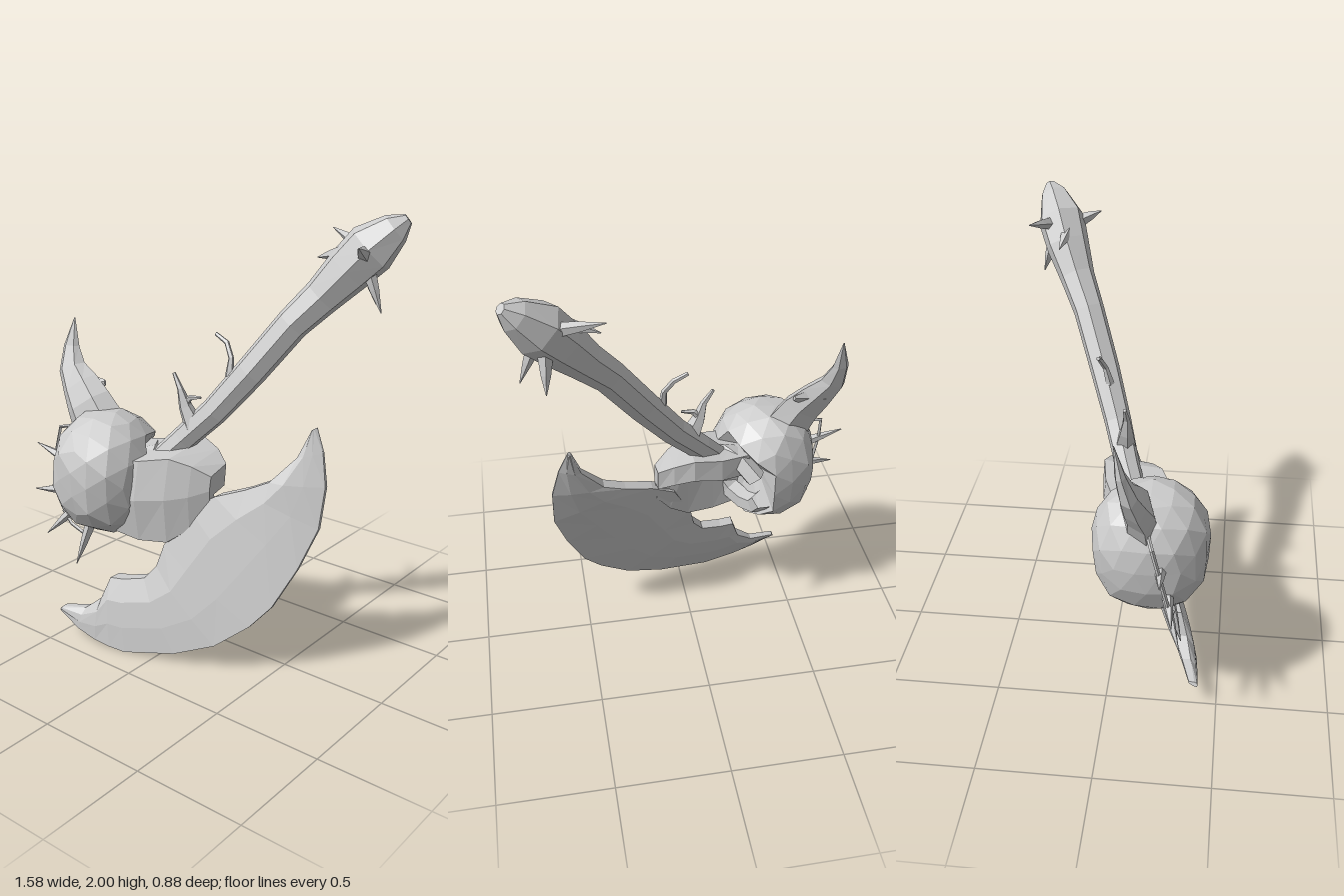
import * as THREE from 'three';

const V = (x, y, z) => new THREE.Vector3(x, y, z);
const material = new THREE.MeshStandardMaterial({ color: 0xcccccc, flatShading: true });

// the weapon lies in a slanted plane
const planeZ = (x, y) => 0.287 - 0.238 * (x + y);
const planeNormal = V(0.238, 0.238, 1).normalize();

// joins rings of points into a closed faceted solid
function loft(rings) {
  const n = rings[0].length, tris = [];
  for (let i = 0; i < rings.length - 1; i++) {
    for (let j = 0; j < n; j++) {
      const k = (j + 1) % n, a = rings[i], b = rings[i + 1];
      tris.push([a[j], a[k], b[k]], [a[j], b[k], b[j]]);
    }
  }
  const first = rings[0], last = rings[rings.length - 1];
  for (let j = 1; j < n - 1; j++) {
    tris.push([first[0], first[j + 1], first[j]], [last[0], last[j], last[j + 1]]);
  }
  // turn the faces outward when the solid comes out inverted
  let volume = 0;
  const centre = first[0];
  for (const [a, b, c] of tris) {
    volume += a.clone().sub(centre).dot(b.clone().sub(centre).cross(c.clone().sub(centre)));
  }
  if (volume < 0) tris.forEach((t) => t.reverse());
  const geometry = new THREE.BufferGeometry().setFromPoints(tris.flat());
  geometry.computeVertexNormals();
  return geometry;
}

// sweeps a polygon of varying radius along points; flat squashes it across the plane
function sweep(points, radii, sides = 6, flat = 1) {
  return loft(points.map((p, i) => {
    const t = points[Math.min(i + 1, points.length - 1)].clone()
      .sub(points[Math.max(i - 1, 0)]).normalize();
    const u = planeNormal.clone().cross(t).normalize();
    const v = t.clone().cross(u);
    return Array.from({ length: sides }, (_, j) => {
      const a = (j / sides) * Math.PI * 2;
      return p.clone().addScaledVector(u, Math.cos(a) * radii[i])
        .addScaledVector(v, Math.sin(a) * radii[i] * flat);
    });
  }));
}

// blade sections: outer edge x, y and inner edge x, y
const BLADE = [
  [-0.515, 0.11, -0.505, 0.13], [-0.4, 0.05, -0.38, 0.152], [-0.3, 0.022, -0.3, 0.22],
  [-0.22, 0.01, -0.265, 0.325], [-0.14, 0.003, -0.2, 0.33], [0.1, 0.05, -0.1, 0.355],
  [0.28, 0.125, -0.05, 0.42], [0.42, 0.24, -0.03, 0.52], [0.5, 0.34, 0.06, 0.7],
  [0.58, 0.52, 0.17, 0.77], [0.635, 0.7, 0.3, 0.82], [0.635, 0.88, 0.4, 0.87],
  [0.6, 1.02, 0.5, 0.99], [0.555, 1.12, 0.54, 1.11],
];

function bladeGeometry() {
  return loft(BLADE.map(([ox, oy, ix, iy], i) => {
    const bow = 0.05 * Math.max(0, Math.sin((Math.PI * (i + 2)) / 12));
    const slim = Math.min(1, 0.35 + 3 * Math.hypot(ox - ix, oy - iy));
    const at = (f, half) => {
      const x = ox + (ix - ox) * f, y = oy + (iy - oy) * f;
      return V(x, y, planeZ(x, y) + bow * (1 - 0.6 * f) + half * slim);
    };
    return [at(0, 0.008), at(0.35, 0.032), at(0.7, 0.045), at(1, 0.03),
      at(1, -0.03), at(0.7, -0.045), at(0.35, -0.032), at(0, -0.008)];
  }));
}

// lumpy, slightly boxy ball with a hollow facing the hub
const ballCentre = V(-0.385, 0.79, 0.185);
const hollow = V(0.8, -0.3, -0.5).normalize();

function ballGeometry() {
  const geometry = new THREE.IcosahedronGeometry(1, 2);
  const pos = geometry.attributes.position, p = V(0, 0, 0);
  for (let i = 0; i < pos.count; i++) {
    p.fromBufferAttribute(pos, i).normalize();
    const lump = 1 + 0.03 * Math.sin(7 * p.x + 3 * p.y) * Math.cos(6 * p.z - 4 * p.y);
    const boxy = (Math.abs(p.x) ** 2.4 + Math.abs(p.y) ** 2.4 + Math.abs(p.z) ** 2.4) ** (-1 / 2.4);
    const depth = p.dot(hollow) > 0.76 ? 0.4 : 1;
    p.multiplyScalar(lump * boxy * depth).multiply(V(0.24, 0.285, 0.255)).add(ballCentre);
    pos.setXYZ(i, p.x, p.y, p.z);
  }
  geometry.computeVertexNormals();
  return geometry;
}

// hub shell, a roof and a front wall left open behind: x, low y, high y, half depth
function hubGeometry() {
  return loft([
    [-0.28, 0.54, 0.92, 0.15], [-0.14, 0.52, 0.94, 0.17], [-0.01, 0.53, 0.965, 0.15],
    [0.08, 0.6, 0.935, 0.11], [0.15, 0.7, 0.89, 0.06],
  ].map(([x, lo, hi, d]) => {
    const at = (y, z) => V(x, y, planeZ(x, y) + z);
    return [
      at(hi - 0.12, d * 0.2), at(lo, -0.03), at(lo + 0.01, d * 0.4),
      at((lo + hi) / 2, d * 0.85), at(hi - 0.03, d * 0.9), at(hi, -d * 0.8), at(hi - 0.1, -d),
    ];
  }));
}

export function createModel() {
  const model = new THREE.Group();
  const add = (name, geometry, parent = model) => {
    const mesh = new THREE.Mesh(geometry, material);
    mesh.name = name;
    parent.add(mesh);
    return mesh;
  };
  const group = (name) => {
    const g = new THREE.Group();
    g.name = name;
    model.add(g);
    return g;
  };

  add('blade', bladeGeometry());
  add('hub', hubGeometry());
  add('ball', ballGeometry());

  // curled rim around the hollow
  const rim = add('hollowRim', new THREE.TorusGeometry(0.16, 0.05, 5, 9, Math.PI * 1.7));
  rim.position.copy(ballCentre).addScaledVector(hollow, 0.17);
  rim.quaternion.setFromUnitVectors(V(0, 0, 1), hollow);

  // handle, swelling into a pointed knob
  add('handle', sweep([
    V(-0.16, 0.86, 0.1), V(-0.05, 0.98, 0.045), V(0.08, 1.12, -0.01), V(0.22, 1.31, -0.085),
    V(0.37, 1.53, -0.175), V(0.47, 1.65, -0.24), V(0.56, 1.765, -0.295), V(0.64, 1.86, -0.335),
    V(0.725, 1.945, -0.38), V(0.768, 1.985, -0.405),
  ], [0.055, 0.06, 0.065, 0.072, 0.075, 0.085, 0.105, 0.115, 0.07, 0.024], 7, 0.95));

  // broad horn on the ball
  add('horn', sweep([
    V(-0.48, 0.97, 0.14), V(-0.55, 1.07, 0.14), V(-0.615, 1.14, 0.125), V(-0.68, 1.215, 0.11),
    V(-0.702, 1.31, 0.085), V(-0.7, 1.44, 0.06),
  ], [0.14, 0.12, 0.1, 0.072, 0.042, 0.003], 6, 0.55));
  add('hornBarb', sweep([V(-0.63, 1.13, 0.12), V(-0.56, 1.15, 0.1), V(-0.495, 1.165, 0.08)],
    [0.07, 0.045, 0.015], 5, 0.6));

  // spikes: base, then tip
  const spikes = (name, radius, list) => {
    const g = group(name);
    for (const [bx, by, bz, tx, ty, tz] of list) {
      const base = V(bx, by, bz), tip = V(tx, ty, tz);
      add('spike', sweep([base, base.clone().lerp(tip, 0.5), tip],
        [radius, radius * 0.65, 0.002], 5), g);
    }
  };
  spikes('ballSpikes', 0.027, [
    [-0.59, 0.8, 0.24, -0.79, 0.85, 0.25], [-0.58, 0.67, 0.27, -0.765, 0.635, 0.3],
    [-0.53, 0.59, 0.26, -0.665, 0.44, 0.33], [-0.43, 0.54, 0.27, -0.475, 0.335, 0.33],
  ]);
  spikes('knobSpikes', 0.032, [
    [0.58, 1.86, -0.37, 0.39, 1.91, -0.44], [0.54, 1.84, -0.29, 0.4, 1.8, -0.31],
    [0.65, 1.79, -0.3, 0.725, 1.605, -0.3], [0.62, 1.76, -0.37, 0.63, 1.61, -0.42],
    [0.66, 1.85, -0.25, 0.69, 1.89, -0.155],
  ]);

  // thin bars strung between the ball spikes
  const bars = group('ballBars');
  for (const points of [
    [V(-0.57, 0.97, 0.18), V(-0.67, 0.945, 0.21), V(-0.675, 0.83, 0.24), V(-0.66, 0.66, 0.28)],
    [V(-0.6, 0.56, 0.28), V(-0.54, 0.51, 0.29), V(-0.45, 0.48, 0.29)],
  ]) add('bar', sweep(points, points.map(() => 0.009), 4), bars);

  // twigs on the handle
  const twigs = group('twigs');
  add('hookTwig', sweep([V(0.13, 1.28, -0.05), V(0.125, 1.36, -0.07), V(0.085, 1.42, -0.09),
    V(0.025, 1.45, -0.09)], [0.02, 0.013, 0.012, 0.009], 5), twigs);
  add('forkTwig', sweep([V(0.0, 1.04, 0.03), V(-0.045, 1.13, 0.04), V(-0.07, 1.21, 0.045),
    V(-0.11, 1.275, 0.04)], [0.05, 0.032, 0.015, 0.008], 5), twigs);
  add('forkBranch', sweep([V(-0.05, 1.14, 0.04), V(-0.02, 1.175, 0.035), V(0.035, 1.185, 0.03)],
    [0.02, 0.013, 0.006], 5), twigs);

  return model;
}
